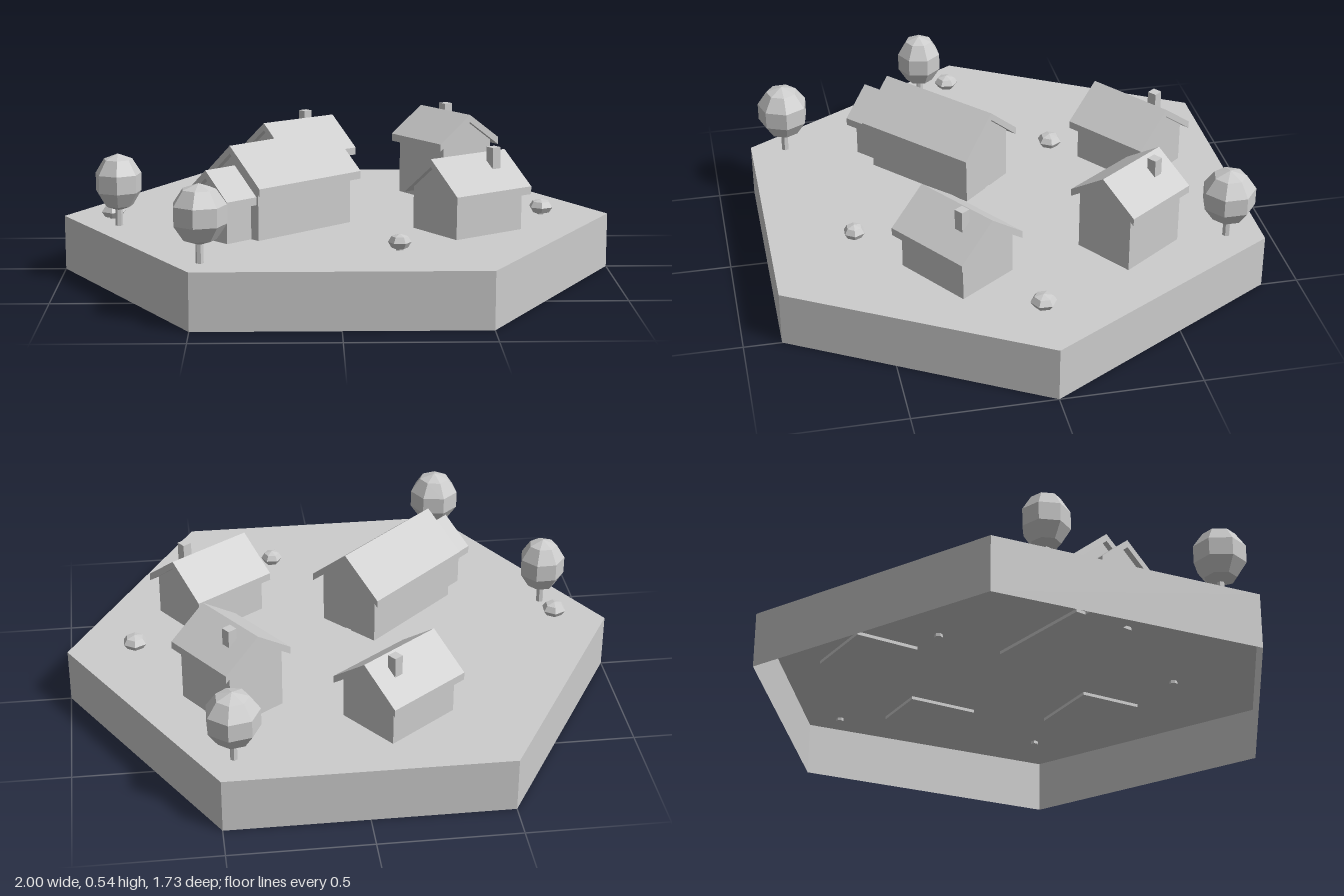
import * as THREE from 'three';

const grey = new THREE.MeshStandardMaterial({ color: 0xcccccc, flatShading: true, side: THREE.DoubleSide });
grey.name = 'plain grey';

const GROUND = 0.2, SUNK = 0.188;

function add(parent, name, geometry, x = 0, y = 0, z = 0) {
  const mesh = new THREE.Mesh(geometry, grey);
  mesh.name = name;
  mesh.position.set(x, y, z);
  parent.add(mesh);
  return mesh;
}

// Extrudes a (z, y) profile along local x, from x0 to x1
function prism(points, x0, x1) {
  const shape = new THREE.Shape(points.map(([a, b]) => new THREE.Vector2(-a, b)));
  const g = new THREE.ExtrudeGeometry(shape, { depth: x1 - x0, bevelEnabled: false });
  return g.rotateY(Math.PI / 2).translate(x0, 0, 0);
}

// Gabled block: walls reaching just below the ground, and a chevron roof slab
function gabled(parent, name, { ridge, pitch, roof, wall, halfRoof, halfWall }) {
  const t = 0.028, top = ridge - t + 0.003;
  const side = top - pitch * halfWall, eave = ridge - pitch * halfRoof;
  add(parent, name + 'Walls', prism([
    [-halfWall, SUNK], [halfWall, SUNK], [halfWall, side], [0, top], [-halfWall, side],
  ], ...wall));
  add(parent, name + 'Roof', prism([
    [-halfRoof, eave], [-halfRoof, eave - t], [0, ridge - t],
    [halfRoof, eave - t], [halfRoof, eave], [0, ridge],
  ], ...roof));
}

function house(parent, name, x, z, degrees, dims, chimney) {
  const g = new THREE.Group();
  g.name = name;
  g.position.set(x, 0, z);
  g.rotation.y = THREE.MathUtils.degToRad(degrees);
  gabled(g, 'main', dims);
  if (chimney) {
    const [cx, cz, top] = chimney;
    const local = new THREE.Vector3(cx - x, 0, cz - z)
      .applyAxisAngle(new THREE.Vector3(0, 1, 0), -g.rotation.y);
    add(g, 'chimney', new THREE.BoxGeometry(0.035, 0.11, 0.035), local.x, top - 0.055, local.z);
  }
  parent.add(g);
  return g;
}

// Low-poly squashed ball on a short stem
function plant(parent, name, x, z, r, halfHeight, centreY, sides, rings, stem, turn) {
  const g = new THREE.Group();
  g.name = name;
  g.position.set(x, 0, z);
  g.rotation.y = turn;
  add(g, 'foliage', new THREE.SphereGeometry(1, sides, rings).scale(r, halfHeight, r), 0, centreY, 0);
  add(g, 'stem', new THREE.CylinderGeometry(stem * 0.85, stem, centreY - SUNK, 6), 0, (centreY + SUNK) / 2, 0);
  parent.add(g);
}

export function createModel() {
  const model = new THREE.Group();
  model.name = 'hexagonalVillage';

  // Hexagonal ground, open underneath
  const ground = new THREE.Group();
  ground.name = 'ground';
  add(ground, 'groundSides', new THREE.CylinderGeometry(1, 1, GROUND, 6, 1, true).rotateY(Math.PI / 2), 0, GROUND / 2, 0);
  add(ground, 'groundTop', new THREE.CircleGeometry(1, 6).rotateX(-Math.PI / 2), 0, GROUND, 0);
  model.add(ground);

  // Faint path joining the doorways
  const path = new THREE.Shape([
    [-0.05, 0.05], [-0.02, -0.1], [-0.03, -0.23], [-0.1, -0.38], [-0.02, -0.42], [0.04, -0.28],
    [0.19, -0.39], [0.27, -0.3], [0.17, -0.15], [0.29, 0.12], [0.23, 0.16], [0.09, 0.0],
  ].map(([x, z]) => new THREE.Vector2(x, -z)));
  add(model, 'path', new THREE.ShapeGeometry(path).rotateX(-Math.PI / 2), 0, GROUND + 0.003, 0);

  // Long house with a lower annex on the same axis
  const long = house(model, 'longHouse', -0.2, 0.184, 42.3, {
    ridge: 0.522, pitch: 0.85, roof: [-0.242, 0.242], wall: [-0.22, 0.22], halfRoof: 0.155, halfWall: 0.123,
  });
  gabled(long, 'annex', {
    ridge: 0.45, pitch: 0.85, roof: [-0.353, -0.215], wall: [-0.33, -0.2], halfRoof: 0.1135, halfWall: 0.085,
  });

  // Two matching cottages and one taller cottage
  const cottage = {
    ridge: 0.47, pitch: 0.76, roof: [-0.169, 0.169], wall: [-0.148, 0.148], halfRoof: 0.148, halfWall: 0.121,
  };
  house(model, 'backCottage', -0.139, -0.532, 37, cottage, [-0.112, -0.618, 0.49]);
  house(model, 'frontCottage', 0.46, 0.24, 34.7, cottage, [0.55, 0.238, 0.495]);
  house(model, 'tallCottage', 0.425, -0.382, -55.2, {
    ridge: 0.528, pitch: 0.7, roof: [-0.15, 0.15], wall: [-0.134, 0.134], halfRoof: 0.142, halfWall: 0.115,
  }, [0.433, -0.463, 0.542]);

  // Trees: x, z, radius, crown centre height
  [[0.447, -0.737, 0.1, 0.362], [-0.785, 0.16, 0.088, 0.358], [-0.468, 0.737, 0.098, 0.365]]
    .forEach(([x, z, r, y], i) => plant(model, 'tree', x, z, r, 0.104, y, 7, 5, 0.014, i * 0.7));

  // Bushes: x, z, radius
  [[-0.28, -0.258, 0.046], [0.753, 0, 0.046], [0.202, 0.564, 0.04], [-0.815, 0.047, 0.046]]
    .forEach(([x, z, r], i) => plant(model, 'bush', x, z, r, 0.028, 0.228, 6, 4, 0.015, i * 0.5));

  return model;
}
